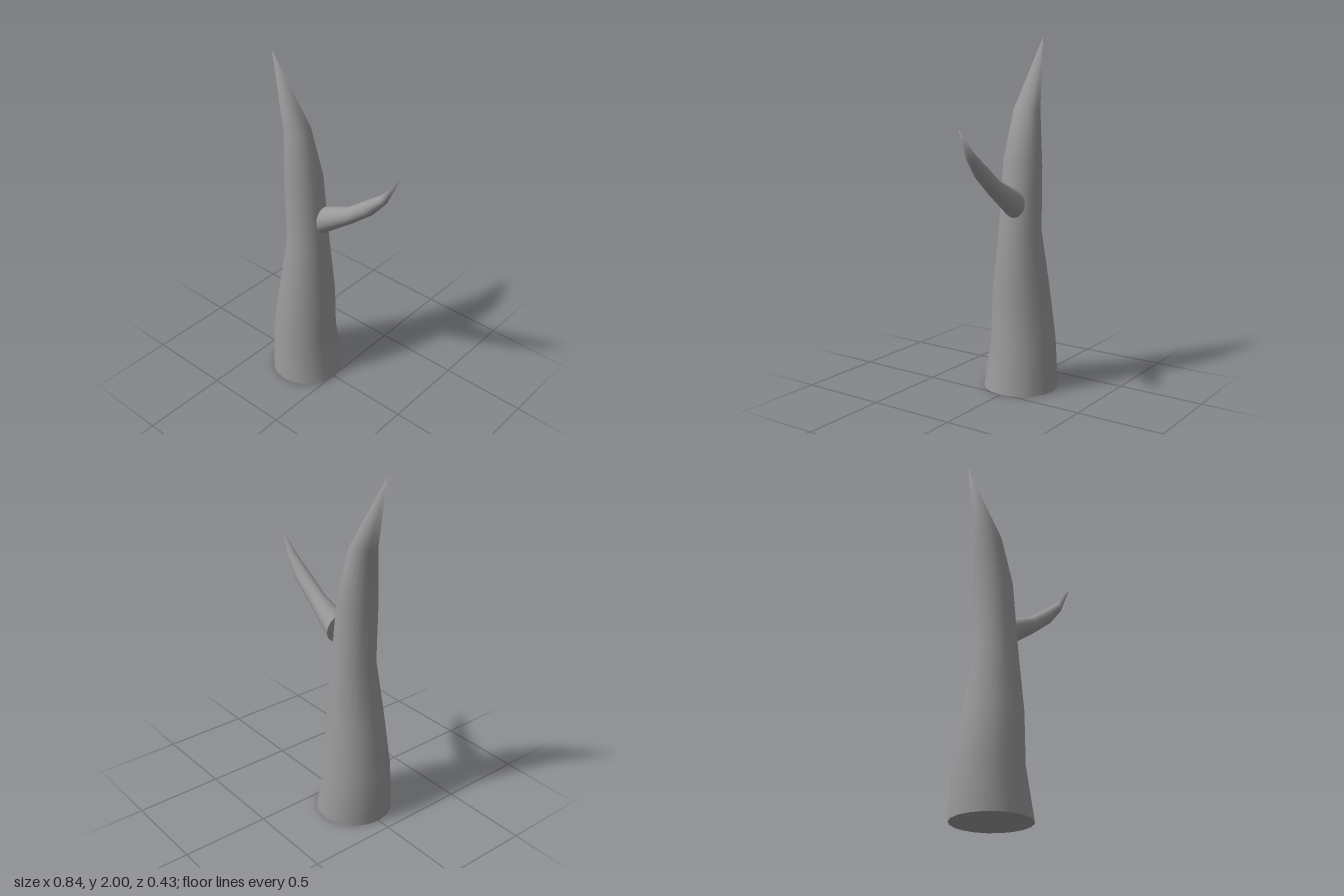
import * as THREE from 'three';

const SIDES = 20;

// Tapered limb: each ring is [leftX, leftY, rightX, rightY, centreZ, radiusZ], ending in a pointed tip.
function limb(name, rings, tip, material) {
  const pos = [], idx = [];
  const addRing = ([lx, ly, rx, ry, cz, rz]) => {
    for (let i = 0; i < SIDES; i++) {
      const a = (i / SIDES) * Math.PI * 2, t = (1 + Math.cos(a)) / 2;
      pos.push(lx + (rx - lx) * t, ly + (ry - ly) * t, cz + rz * Math.sin(a));
    }
  };
  rings.forEach(addRing);
  const apex = pos.length / 3;
  pos.push(...tip);

  // Smooth side walls and pointed end
  for (let r = 0; r < rings.length; r++) {
    for (let i = 0; i < SIDES; i++) {
      const j = (i + 1) % SIDES;
      const a = r * SIDES + i, b = r * SIDES + j;
      if (r === rings.length - 1) idx.push(a, apex, b);
      else idx.push(a, a + SIDES, b, b, a + SIDES, b + SIDES);
    }
  }

  // Flat cut end with its own vertices for a sharp edge
  const cap = pos.length / 3;
  addRing(rings[0]);
  for (let i = 1; i < SIDES - 1; i++) idx.push(cap, cap + i, cap + i + 1);

  const geometry = new THREE.BufferGeometry();
  geometry.setAttribute('position', new THREE.Float32BufferAttribute(pos, 3));
  geometry.setIndex(idx);
  geometry.computeVertexNormals();
  const mesh = new THREE.Mesh(geometry, material);
  mesh.name = name;
  return mesh;
}

export function createModel() {
  const group = new THREE.Group();
  group.name = 'deadTree';
  const bark = new THREE.MeshStandardMaterial({ color: 0x999999 });
  bark.name = 'grey bark';

  // Main trunk, bending towards its pointed top
  group.add(limb('trunk', [
    [-0.42, 0, 0.01, 0, 0, 0.216],
    [-0.415, 0.28, -0.04, 0.28, 0, 0.188],
    [-0.367, 0.58, -0.04, 0.58, 0, 0.164],
    [-0.31, 0.92, -0.07, 0.94, 0, 0.122],
    [-0.318, 1.27, -0.11, 1.33, 0, 0.113],
    [-0.325, 1.6, -0.185, 1.6, 0, 0.078],
  ], [-0.42, 2, 0], bark));

  // Side branch
  group.add(limb('branch', [
    [-0.092, 1.165, -0.075, 1.01, -0.027, 0.073],
    [0.08, 1.24, 0.12, 1.155, -0.024, 0.049],
    [0.195, 1.325, 0.25, 1.262, -0.026, 0.044],
    [0.308, 1.41, 0.336, 1.365, -0.027, 0.028],
  ], [0.418, 1.535, -0.025], bark));

  return group;
}
